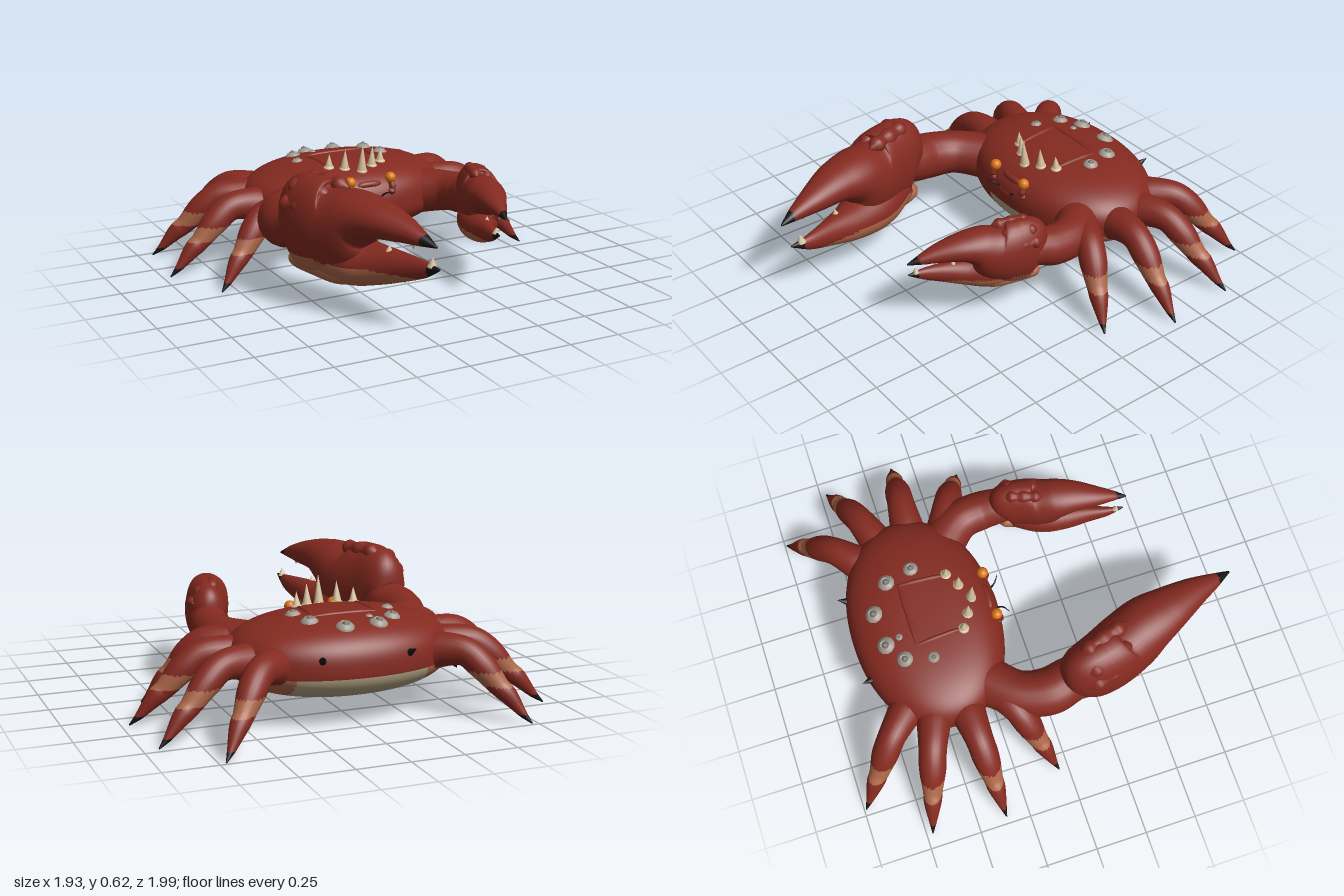
import * as THREE from 'three';
import { mergeVertices } from 'three/addons/utils/BufferGeometryUtils.js';

const V = (x, y, z) => new THREE.Vector3(x, y, z);
const mat = (name, color) => Object.assign(new THREE.MeshStandardMaterial({ color }), { name });

// Body proportions: a squashed super-ellipsoid
const BX = 0.53, BZ = 0.36, CY = 0.28, CZ = -0.455, N = 2.12, MT = 2.7, MB = 2.4;
const topY = (x, z) => {
  const r = (Math.abs(x / BX) ** N + Math.abs((z - CZ) / BZ) ** N) ** (1 / N);
  return CY + 0.2 * Math.max(0, 1 - r ** MT) ** (1 / MT);
};

// Sorts the faces into material groups by a rule on the face centre
function paint(geo, rule, count) {
  const p = geo.attributes.position, idx = geo.index.array;
  const buckets = Array.from({ length: count }, () => []);
  for (let i = 0; i < idx.length; i += 3) {
    const f = [idx[i], idx[i + 1], idx[i + 2]];
    const mean = (get) => f.reduce((s, k) => s + p[get](k), 0) / 3;
    buckets[rule(mean('getX'), mean('getY'), mean('getZ'))].push(...f);
  }
  geo.setIndex(buckets.flat());
  let start = 0;
  buckets.forEach((b, i) => {
    if (b.length) geo.addGroup(start, b.length, i);
    start += b.length;
  });
  return geo;
}

// Smooth closed loft through stations [x, y, z, radiusSide, radiusUp]
function loft(stations, rings = 32, sides = 20) {
  const path = new THREE.CatmullRomCurve3(stations.map((s) => V(s[0], s[1], s[2])));
  const radii = new THREE.CatmullRomCurve3(stations.map((s) => V(s[3], s[4] ?? s[3], 0)), false, 'catmullrom');
  const pos = [], index = [];
  for (let i = 0; i <= rings; i++) {
    const c = path.getPoint(i / rings), r = radii.getPoint(i / rings), t = path.getTangent(i / rings);
    const side = V(0, 1, 0).cross(t).normalize(), up = t.clone().cross(side);
    for (let j = 0; j < sides; j++) {
      const a = (j / sides) * Math.PI * 2;
      const q = c.clone().addScaledVector(side, Math.cos(a) * r.x).addScaledVector(up, Math.sin(a) * r.y);
      pos.push(q.x, q.y, q.z);
    }
  }
  for (let i = 0; i < rings; i++) for (let j = 0; j < sides; j++) {
    const k = (j + 1) % sides, a = i * sides, b = a + sides;
    index.push(a + j, a + k, b + k, a + j, b + k, b + j);
  }
  const s0 = pos.length / 3, last = rings * sides;
  pos.push(...path.getPoint(0).toArray(), ...path.getPoint(1).toArray());
  for (let j = 0; j < sides; j++) {
    const k = (j + 1) % sides;
    index.push(s0, k, j, s0 + 1, last + j, last + k);
  }
  const g = new THREE.BufferGeometry();
  g.setAttribute('position', new THREE.Float32BufferAttribute(pos, 3));
  g.setIndex(index);
  g.computeVertexNormals();
  return g;
}

export function createModel() {
  const root = new THREE.Group();
  root.name = 'crab';
  const red = mat('shellRed', 0x842a20), salmon = mat('salmon', 0xac6648), cream = mat('bellyCream', 0xb0a080);
  const bone = mat('spineBone', 0xd6c29e), black = mat('clawBlack', 0x171314);
  const grey = mat('barnacleGrey', 0xa0988e), darkGrey = mat('barnacleCore', 0x77716c), orange = mat('eyeOrange', 0xd8750f);

  const add = (name, geo, material, parent = root) => {
    const m = new THREE.Mesh(geo, material);
    m.name = name;
    parent.add(m);
    return m;
  };
  // Cone whose base is centred at a point and which points along dir
  const spike = (name, base, dir, r, h, material, parent) => {
    const m = add(name, new THREE.ConeGeometry(r, h, 14).translate(0, h / 2, 0), material, parent);
    m.position.copy(base);
    m.quaternion.setFromUnitVectors(V(0, 1, 0), dir.clone().normalize());
  };

  // Body: red shell, cream belly and salmon flanks
  let body = new THREE.SphereGeometry(1, 160, 110);
  body.deleteAttribute('uv');
  body.deleteAttribute('normal');
  const bp = body.attributes.position;
  for (let i = 0; i < bp.count; i++) {
    const a = bp.getX(i), b = bp.getY(i), c = bp.getZ(i), h = Math.hypot(a, c);
    const m = b > 0 ? MT : MB;
    const g = 1 / (h ** m + Math.abs(b) ** m) ** (1 / m);
    // the poles have no direction around the axis
    const f = h < 1e-6 ? 0 : g / (Math.abs(a / h) ** N + Math.abs(c / h) ** N) ** (1 / N);
    bp.setXYZ(i, BX * a * f, CY + (b > 0 ? 0.2 : 0.17) * b * g, CZ + BZ * c * f);
  }
  body = mergeVertices(body, 1e-5);
  body.computeVertexNormals();
  paint(body, (x, y, z) => {
    const w = Math.abs(x);
    if (z > -0.2) {
      const half = 0.095 + (y > 0.2 ? (y - 0.2) * 0.5 : (0.2 - y) * 0.25);
      return y < 0.27 && w < half ? 2 : 0;
    }
    if (y > 0.25) return 0;
    if (w < 0.115 + 0.45 * Math.min(-0.2 - z, 0.45)) return 2;
    return z < -0.22 ? 1 : 0;
  }, 3);
  add('body', body, [red, salmon, cream]);

  // Raised frame on the shell
  const onShell = (x, z, r) => [x, topY(x, z) - 0.004, z, r];
  const ridge = (a, b) => loft([0, 0.25, 0.5, 0.75, 1].map((t) =>
    onShell(a[0] + (b[0] - a[0]) * t, a[1] + (b[1] - a[1]) * t, t % 1 ? 0.012 : 0.006)), 16, 10);
  add('shellRidgeBack', ridge([-0.165, -0.53], [0.165, -0.53]), red);
  for (const s of [-1, 1]) add('shellRidgeSide', ridge([s * 0.155, -0.53], [s * 0.14, -0.3]), red);

  // Row of bone spines over the face
  for (const [x, z, h] of [[0, -0.22, 0.16], [0.075, -0.26, 0.12], [0.142, -0.3, 0.09]])
    for (const s of x ? [-1, 1] : [1]) {
      const y = topY(x, z) - 0.02;
      spike('shellSpine', V(s * x, y, z), V(0, 1, 0.08), 0.027, h, bone);
      const collar = add('spineCollar', new THREE.SphereGeometry(0.028, 14, 8), bone);
      collar.scale.y = 0.6;
      collar.position.set(s * x, y + 0.015, z);
    }

  // Barnacles standing on the shell
  const profile = [[0.046, -0.012], [0.042, 0.003], [0.034, 0.008], [0.026, 0.018], [0.018, 0.02], [0.014, 0.01], [0, 0.008]]
    .map(([x, y]) => new THREE.Vector2(x, y));
  for (const [x, z, k] of [[-0.105, -0.67, 1], [0.06, -0.68, 1], [0.19, -0.58, 0.95], [0.22, -0.45, 0.85],
    [-0.2, -0.605, 0.9], [-0.235, -0.475, 0.65], [-0.09, -0.6, 0.4]]) {
    const b = new THREE.Group();
    b.name = 'barnacle';
    add('barnacleRing', new THREE.LatheGeometry(profile, 11), grey, b);
    add('barnacleCore', new THREE.SphereGeometry(0.016, 10, 8), darkGrey, b).position.y = 0.013;
    const e = 0.01;
    const n = V(topY(x - e, z) - topY(x + e, z), 2 * e, topY(x, z - e) - topY(x, z + e)).normalize();
    b.quaternion.setFromUnitVectors(V(0, 1, 0), n);
    b.position.set(x, topY(x, z), z);
    b.scale.setScalar(k);
    root.add(b);
  }

  // Face, eyes, feelers and rear thorns
  for (const s of [-1, 1]) {
    add('eyeStalk', loft([[s * 0.1, 0.34, -0.14, 0.022], [s * 0.115, 0.37, -0.11, 0.018], [s * 0.11, 0.415, -0.125, 0.014]], 10, 10), red);
    add('eye', new THREE.SphereGeometry(0.027, 20, 14), orange).position.set(s * 0.11, 0.428, -0.125);
    add('feeler', loft([[s * 0.05, 0.34, -0.11, 0.005], [s * 0.065, 0.365, -0.08, 0.004], [s * 0.1, 0.37, -0.055, 0.001]], 10, 6), black);
    spike('rearThorn', V(s * 0.2, 0.32, -0.75), V(s * 0.15, 0.35, -0.6), 0.03, 0.09, black);
  }
  add('browRidge', loft([[-0.08, 0.39, -0.15, 0.006], [-0.04, 0.4, -0.14, 0.016], [0.04, 0.4, -0.14, 0.016], [0.08, 0.39, -0.15, 0.006]], 16, 10), red);
  add('mouthRidge', loft([[-0.09, 0.345, -0.12, 0.006], [-0.05, 0.33, -0.11, 0.012], [0.05, 0.33, -0.11, 0.012], [0.09, 0.345, -0.12, 0.006]], 16, 10), red);

  // Walking legs: root x,z to tip x,z; [t, height, radius] along the way
  const legs = [[0.34, -0.62, 0.72, -0.99], [0.4, -0.53, 0.93, -0.72], [0.42, -0.4, 0.965, -0.36], [0.38, -0.25, 0.825, -0.045]];
  const legShape = [[0, 0.28, 0.1], [0.2, 0.31, 0.08], [0.4, 0.308, 0.067], [0.55, 0.25, 0.064],
    [0.7, 0.165, 0.047], [0.78, 0.13, 0.042], [0.92, 0.048, 0.018], [1, 0.01, 0.003]];
  for (const s of [-1, 1]) for (const [ax, az, bx, bz] of legs) {
    const g = loft(legShape.map(([t, y, r]) => [s * (ax + (bx - ax) * t), y, az + (bz - az) * t, r]), 60, 22);
    paint(g, (x, y) => (y < 0.048 ? 2 : y > 0.168 && y < 0.235 ? 1 : 0), 3);
    add('leg', g, [red, salmon, black]);
  }

  // Front arms
  add('rightArm', loft([[-0.33, 0.29, -0.3, 0.12], [-0.48, 0.31, -0.14, 0.108], [-0.52, 0.32, 0, 0.115], [-0.505, 0.34, 0.1, 0.11], [-0.49, 0.37, 0.22, 0.1]]), red);
  add('leftArm', loft([[0.33, 0.29, -0.3, 0.12], [0.45, 0.31, -0.14, 0.1], [0.465, 0.32, -0.02, 0.095], [0.455, 0.34, 0.06, 0.088], [0.45, 0.35, 0.14, 0.08]]), red);

  // Claws: one design, scaled by k and mirrored by side
  const palm = [[-0.5, 0.35, 0.1, 0.08, 0.1], [-0.5, 0.38, 0.18, 0.125, 0.215], [-0.475, 0.385, 0.3, 0.145, 0.23],
    [-0.43, 0.405, 0.42, 0.15, 0.205], [-0.395, 0.465, 0.52, 0.14, 0.135], [-0.365, 0.49, 0.63, 0.115, 0.092],
    [-0.32, 0.482, 0.78, 0.075, 0.062], [-0.29, 0.465, 0.9, 0.038, 0.034], [-0.265, 0.448, 0.992, 0.005, 0.005]];
  const jaw = [[-0.46, 0.27, 0.22, 0.09, 0.1], [-0.42, 0.26, 0.36, 0.13, 0.12], [-0.38, 0.255, 0.47, 0.13, 0.115],
    [-0.335, 0.262, 0.58, 0.1, 0.095], [-0.29, 0.285, 0.72, 0.06, 0.07], [-0.25, 0.31, 0.86, 0.03, 0.04], [-0.235, 0.335, 0.965, 0.005, 0.005]];
  const heel = [[-0.5, 0.215, 0.13, 0.06, 0.04], [-0.495, 0.205, 0.16, 0.085, 0.055], [-0.46, 0.2, 0.3, 0.095, 0.058],
    [-0.42, 0.2, 0.44, 0.09, 0.06], [-0.39, 0.21, 0.53, 0.06, 0.04]];
  const teeth = [[-0.3, 0.45, 0.85, -1], [-0.355, 0.43, 0.62, -1], [-0.24, 0.335, 0.91, 1], [-0.32, 0.335, 0.67, 1]];
  const claw = (name, side, k, tipX, midY, tipZ) => {
    const group = new THREE.Group();
    group.name = name;
    root.add(group);
    const map = ([x, y, z, ...r]) =>
      [side * (tipX + (-x - 0.265) * k), midY + (y - 0.38) * k, tipZ + (z - 0.985) * k, ...r.map((v) => v * k)];
    const tip = (z) => map([0, 0, z])[2];
    const part = (label, stations, tipStart) => add(label, paint(loft(stations.map(map), 72, 34),
      (x, y, z) => (z > tip(tipStart) ? 2 : y < 0.262 ? 1 : 0), 3), [red, salmon, black], group);
    part('upperClaw', palm, 0.925);
    part('lowerClaw', jaw, 0.9);
    add('clawHeel', loft(heel.map(map)), salmon, group);
    for (const [x, y, z, d] of teeth)
      spike('clawTooth', V(...map([x, y, z])), V(0, d, 0.15), 0.022 * k, 0.045 * k, bone, group);
    // Knobbly knuckle ridges
    for (const [x, y] of [[-0.475, 0.58], [-0.565, 0.55], [-0.61, 0.48]]) {
      const knobs = [0.006, 0.042, 0.034, 0.044, 0.034, 0.04, 0.006];
      add('knuckleRidge', loft(knobs.map((r, i) => map([x + i * 0.014, y, 0.16 + i * 0.043, r])), 30, 14), red, group);
    }
  };
  claw('rightClaw', -1, 1, 0.265, 0.38, 0.985);
  claw('leftClaw', 1, 0.7, 0.28, 0.355, 0.665);
  return root;
}
